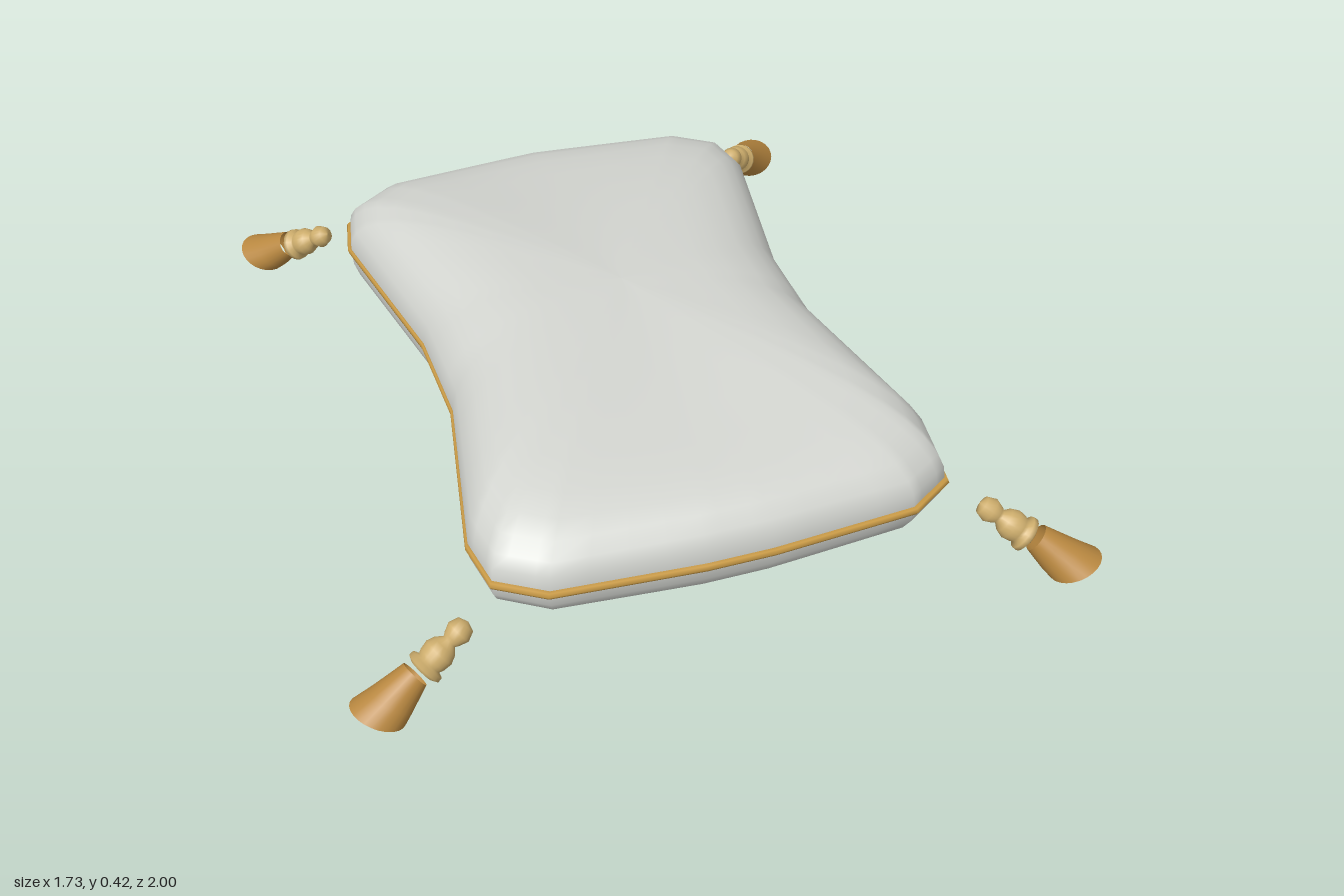
import * as THREE from 'three';

const mat = (name, color, side = THREE.FrontSide) => {
  const m = new THREE.MeshStandardMaterial({ color, side });
  m.name = name;
  return m;
};

// Skin between closed rings that all have the same number of points
function loft(rings, closed = false) {
  const n = rings[0].length, count = rings.length, index = [];
  for (let i = 0; i < (closed ? count : count - 1); i++) {
    for (let j = 0; j < n; j++) {
      const k = (j + 1) % n, next = (i + 1) % count;
      const a = i * n + j, b = i * n + k, c = next * n + j, d = next * n + k;
      index.push(a, c, b, b, c, d);
    }
  }
  const g = new THREE.BufferGeometry();
  g.setAttribute('position', new THREE.Float32BufferAttribute(rings.flat().flat(), 3));
  g.setIndex(index);
  g.computeVertexNormals();
  return g;
}

const SEAM_Y = 0.23, MID_Z = 0.035;

// Half of the waisted outline, back to front, then mirrored
const half = [[0, -0.8], [0.43, -0.765], [0.54, -0.69], [0.563, -0.57], [0.478, -0.1],
  [0.475, 0.18], [0.56, 0.64], [0.54, 0.77], [0.43, 0.84], [0.08, 0.865]];
const corners = [...half, ...half.slice(1).reverse().map(([x, z]) => [-x, z])];
const outline = [];
corners.forEach(([x, z], i) => {
  const [x2, z2] = corners[(i + 1) % corners.length];
  for (let k = 0; k < 4; k++) outline.push([x + (x2 - x) * k / 4, z + (z2 - z) * k / 4]);
});

const outlineRing = (s, height) => outline.map(([x, z]) =>
  [x * s, SEAM_Y + height(x, z), MID_Z + (z - MID_Z) * s]);

// Cushion: [scale of outline, puff toward the sides, puff toward the ends]
const puff = [[0, 0.193, 0.193], [0.2, 0.193, 0.188], [0.42, 0.19, 0.17], [0.56, 0.183, 0.156],
  [0.7, 0.168, 0.141], [0.8, 0.145, 0.13], [0.87, 0.12, 0.117], [0.92, 0.094, 0.1],
  [0.96, 0.062, 0.073], [0.98, 0.035, 0.042], [0.987, 0, 0]];
const puffRing = ([s, side, end], sign) => outlineRing(s, (x, z) => {
  const u = (x / 0.55) ** 2, v = ((z - MID_Z) / 0.83) ** 2, w = u / (u + v);
  return sign * (side * w + end * (1 - w));
});
const cushionRings = [
  ...puff.map(p => puffRing(p, -1)),
  ...puff.slice(0, -1).reverse().map(p => puffRing(p, 1)),
];

// Piping: thin band around the seam
const pipingRings = [[0.965, -0.009], [0.995, -0.008], [1, 0], [0.995, 0.008], [0.965, 0.009]]
  .map(([s, y]) => outlineRing(s, () => y));

// Tassel pieces, pointing along local +x and drooping
const DROOP = THREE.MathUtils.degToRad(32);
const beadProfile = [[0, -0.03], [0.022, -0.022], [0.03, 0], [0.022, 0.02], [0.017, 0.028],
  [0.03, 0.042], [0.037, 0.06], [0.034, 0.08], [0.03, 0.09], [0.042, 0.095], [0.043, 0.106], [0.03, 0.113]]
  .map(([r, y]) => new THREE.Vector2(r, y));

// Skirt ring: centre, radius and downward tilt in degrees
function skirtRing([x, y, r, tilt]) {
  const a = THREE.MathUtils.degToRad(tilt), ring = [];
  for (let j = 0; j < 24; j++) {
    const p = j / 24 * Math.PI * 2;
    ring.push([x + r * Math.sin(p) * Math.sin(a), y + r * Math.sin(p) * Math.cos(a), r * Math.cos(p)]);
  }
  return ring;
}
const skirtStations = [[0.112, -0.06, 0.034, 32], [0.14, -0.079, 0.042, 42],
  [0.172, -0.1, 0.052, 52], [0.208, -0.12, 0.064, 62]];

export function createModel() {
  const fabric = mat('pale fabric', 0xd3d5d0);
  const gold = mat('gold piping', 0xc99a45, THREE.DoubleSide);
  const thread = mat('golden brown thread', 0xb98840, THREE.DoubleSide);
  const bead = mat('tan bead', 0xcdad6c);

  const model = new THREE.Group();
  model.name = 'tasselledCushion';
  const add = (parent, name, geometry, material) => {
    const mesh = new THREE.Mesh(geometry, material);
    mesh.name = name;
    parent.add(mesh);
    return mesh;
  };

  add(model, 'cushion', loft(cushionRings), fabric);
  add(model, 'piping', loft(pipingRings, true), gold);

  const beads = new THREE.LatheGeometry(beadProfile, 20);
  beads.rotateZ(-Math.PI / 2 - DROOP);
  const skirt = loft(skirtStations.map(skirtRing));

  // Each tassel: name, bead position, then a point it aims at
  const tassels = [
    ['frontLeftTassel', 0.625, 0.165, 0.82, 0.83, 0.95],
    ['frontRightTassel', -0.62, 0.152, 0.8, -0.845, 0.87],
    ['backLeftTassel', 0.612, 0.165, -0.783, 0.755, -0.965],
    ['backRightTassel', -0.603, 0.152, -0.775, -0.76, -0.94],
  ];
  for (const [name, x, y, z, tx, tz] of tassels) {
    const tassel = new THREE.Group();
    tassel.name = name;
    add(tassel, 'tasselBeads', beads, bead);
    add(tassel, 'tasselSkirt', skirt, thread);
    tassel.position.set(x, y, z);
    tassel.rotation.y = Math.atan2(z - tz, tx - x);
    model.add(tassel);
  }
  return model;
}
